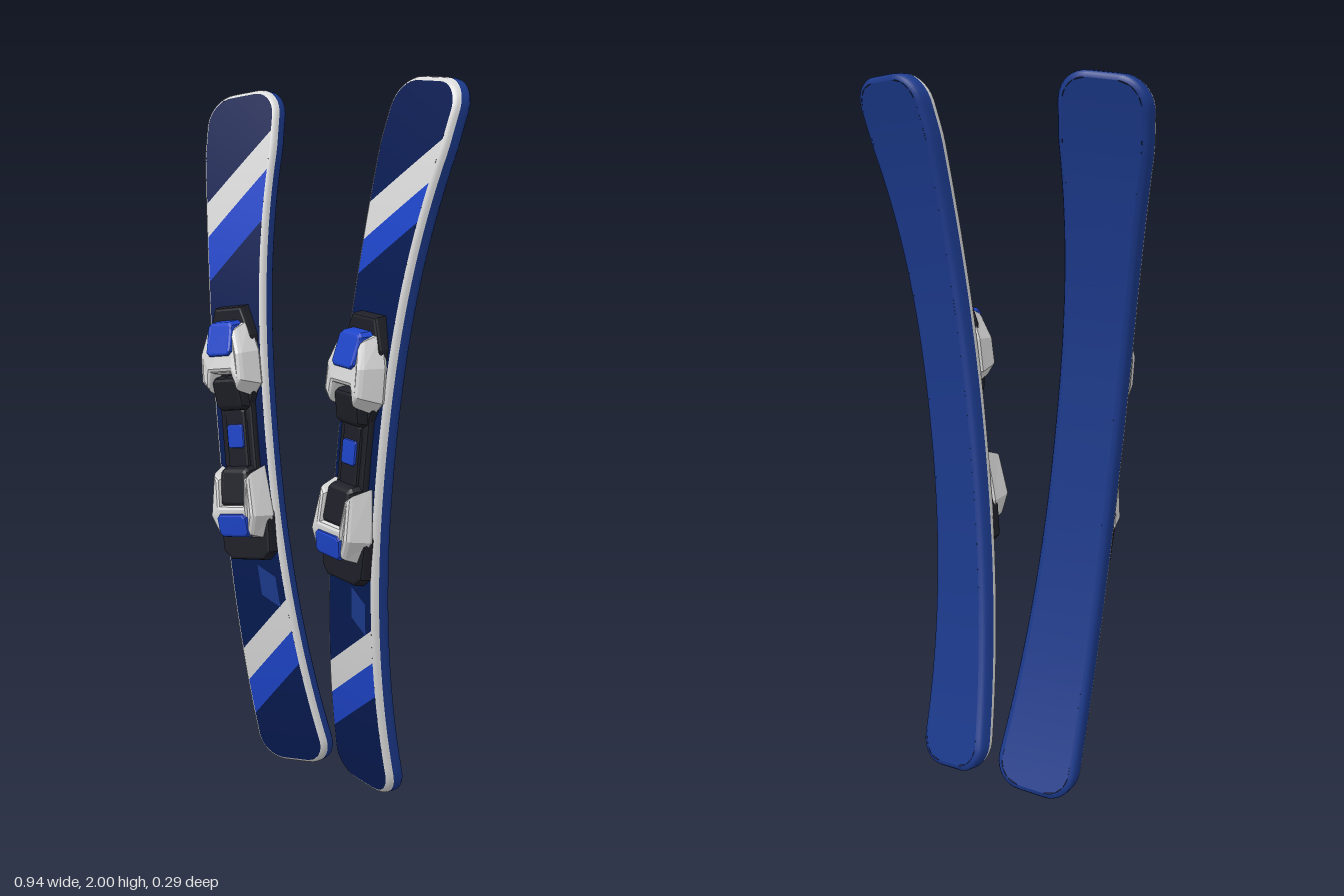
import * as THREE from 'three';

const mat = (name, color) => Object.assign(new THREE.MeshStandardMaterial({ color }), { name });
const NAVY = mat('navy', 0x071b52);
const BLUE = mat('bright blue', 0x1e45ca);
const BASE = mat('base blue', 0x1c3a8c);
const WHITE = mat('off white', 0xdadada);
const BLACK = mat('charcoal', 0x1f2028);

const HALF_LENGTH = 1.002;
const TRIM = 0.012;
const clamp = THREE.MathUtils.clamp;

// Ski bends back toward tip and tail
const bend = v => -0.138 * Math.pow(Math.abs(v), 2.2);

// Half width with sidecut and rounded end corners, shrunk by an inset
function halfWidth(v, inset) {
  const a = Math.abs(v);
  const w = v > 0 ? Math.min(0.096 + 0.058 * a ** 3, 0.128) : 0.096 + 0.03 * a * a;
  const r = 0.085 - inset;
  const e = clamp(HALF_LENGTH - inset - a, 0, r);
  return w - inset - (r - Math.sqrt(Math.max(0, r * r - (r - e) ** 2)));
}

// Grid surface from a point rule
function surface(rows, cols, point) {
  const pos = [], index = [];
  for (let i = 0; i <= rows; i++) {
    for (let j = 0; j <= cols; j++) pos.push(...point(i, j));
  }
  for (let i = 0; i < rows; i++) {
    for (let j = 0; j < cols; j++) {
      const a = i * (cols + 1) + j, d = a + cols + 1;
      index.push(a, a + 1, d + 1, a, d + 1, d);
    }
  }
  const g = new THREE.BufferGeometry();
  g.setAttribute('position', new THREE.Float32BufferAttribute(pos, 3));
  g.setIndex(index);
  g.computeVertexNormals();
  return g;
}

// Rim around the outline through layers of [inset, depth]
const N = 64;
function rim(layers) {
  return surface(layers.length - 1, 2 * N + 2, (i, j) => {
    const [inset, d] = layers[i];
    const k = j % (2 * N + 2), right = k <= N;
    const t = Math.sin(Math.PI * ((right ? k : 2 * N + 1 - k) / N - 0.5));
    const v = t * (HALF_LENGTH - inset);
    return [(right ? 1 : -1) * halfWidth(v, inset), v, d + bend(v)];
  });
}

// Flat face band between two lengthwise positions, with slanted edges
function band(v0, v1, slope, depth, inset, s0 = -1, s1 = 1) {
  const rows = 40, cols = 12, end = HALF_LENGTH - inset;
  return surface(rows, cols, (i, j) => {
    const t = 0.5 - 0.5 * Math.cos(Math.PI * i / rows);
    const c = clamp(v0 + (v1 - v0) * t, -end, end);
    const s = s0 + (s1 - s0) * j / cols;
    const m = slope * clamp((end - Math.abs(c)) / 0.2, 0, 1);
    let u = 0, v = c;
    for (let k = 0; k < 8; k++) {
      u = s * halfWidth(v, inset);
      v = clamp(c + m * u, -end, end);
    }
    return [u, v, depth + bend(v)];
  });
}

// Symmetric bevelled block from its right half outline, narrowing toward the front;
// with a peak given, its front falls away to either side of that height
function block(half, z0, z1, taper = 0.85, bevel = 0.008, peak = null) {
  const pts = [...half, ...half.slice().reverse().map(([x, y]) => [-x, y])];
  const shape = new THREE.Shape(pts.map(p => new THREE.Vector2(...p)));
  const g = new THREE.ExtrudeGeometry(shape, {
    depth: z1 - z0 - bevel, bevelEnabled: true, bevelThickness: bevel,
    bevelSize: bevel, bevelOffset: -bevel, bevelSegments: 2,
  });
  g.translate(0, 0, z0);
  const p = g.attributes.position;
  const ys = half.map(h => h[1]);
  const cy = (Math.min(...ys) + Math.max(...ys)) / 2;
  for (let i = 0; i < p.count; i++) {
    const f = clamp((p.getZ(i) - z0) / (z1 - z0), 0, 1);
    const k = 1 + (taper - 1) * f;
    const y = cy + (p.getY(i) - cy) * k;
    const drop = peak === null ? 0 : 1.5 * f * (y - peak) ** 2;
    p.setXYZ(i, p.getX(i) * k, y, p.getZ(i) - drop);
  }
  g.computeVertexNormals();
  return g;
}
const rect = (w, y0, y1, c = 0.012) => [[w - c, y0], [w, y0 + c], [w, y1 - c], [w - c, y1]];

function createSki(side) {
  const ski = new THREE.Group();
  ski.name = side > 0 ? 'leftSki' : 'rightSki';
  const add = (name, geometry, material) => {
    const mesh = new THREE.Mesh(geometry, material);
    mesh.name = name;
    ski.add(mesh);
  };

  // Body: base, sidewall and pale edge
  add('base', band(-HALF_LENGTH, HALF_LENGTH, 0, -0.033, 0.018, 1, -1), BASE);
  add('sidewall', rim([[0.018, -0.033], [0.007, -0.029], [0.001, -0.02], [0, -0.007], [0, 0.01]]), BASE);
  add('edgeTrim', rim([[0, 0.01], [0.002, 0.02], [0.006, 0.027], [TRIM, 0.03]]), WHITE);

  // Top sheet with slanted stripes, running the same way on both skis
  const upper = side > 0 ? [0.55, 0.645, 0.75] : [0.535, 0.67, 0.775];
  const cuts = [-HALF_LENGTH, -0.757, -0.652, -0.555, ...upper, HALF_LENGTH];
  const colours = [NAVY, BLUE, WHITE, NAVY, BLUE, WHITE, NAVY];
  const slope = side > 0 ? 0.83 : 0.85;
  colours.forEach((m, i) => {
    add(m === NAVY ? 'topSheet' : 'stripe', band(cuts[i], cuts[i + 1], slope, 0.03, TRIM), m);
  });
  add('accentPatch', band(-0.46, -0.37, -0.6, 0.032, TRIM, 0.1, 0.75), BASE);

  // Binding plates
  add('toePlate', block([[0.045, 0.04], [0.06, 0.1], [0.08, 0.15], [0.08, 0.3], [0.05, 0.385]], -0.005, 0.05, 0.95), BLACK);
  add('middlePlate', block(rect(0.06, -0.2, 0.12), 0.01, 0.048, 0.95), BLACK);
  add('middleSpine', block(rect(0.04, -0.1, 0.1), 0.03, 0.056, 0.9), BLACK);
  add('middleButton', block(rect(0.029, -0.028, 0.043, 0.006), 0.04, 0.063, 0.95, 0.004), BLUE);
  add('heelPlate', block([[0.06, -0.36], [0.088, -0.335], [0.092, -0.22], [0.06, -0.1]], -0.005, 0.052, 0.95), BLACK);

  // Toe piece
  add('toeHousing', block([[0.042, 0.185], [0.06, 0.12], [0.09, 0.155], [0.088, 0.25], [0.062, 0.338]], 0.035, 0.11, 0.78, 0.014, 0.2), WHITE);
  add('toeCap', block(rect(0.049, 0.235, 0.342), 0.04, 0.116, 0.88, 0.008, 0.2), BLUE);
  add('toePad', block(rect(0.055, 0.078, 0.185), 0.03, 0.094, 0.85, 0.012, 0.2), BLACK);

  // Heel piece
  add('heelHousing', block([[0.068, -0.292], [0.093, -0.225], [0.076, -0.08], [0.052, -0.1], [0.048, -0.19]], 0.035, 0.11, 0.82, 0.012, -0.19), WHITE);
  add('heelLever', block(rect(0.057, -0.283, -0.208), 0.04, 0.116, 0.9, 0.008, -0.19), BLUE);
  add('heelPad', block(rect(0.056, -0.2, -0.075), 0.03, 0.098, 0.85, 0.012, -0.19), BLACK);

  // Lean outward at the tip and turn slightly inward
  ski.rotation.set(0, -side * 0.155, -side * 0.106, 'ZYX');
  ski.position.set(side * 0.226, 1, 0.028);
  return ski;
}

export function createModel() {
  const model = new THREE.Group();
  model.name = 'pairOfSkis';
  for (const side of [1, -1]) model.add(createSki(side));
  return model;
}
